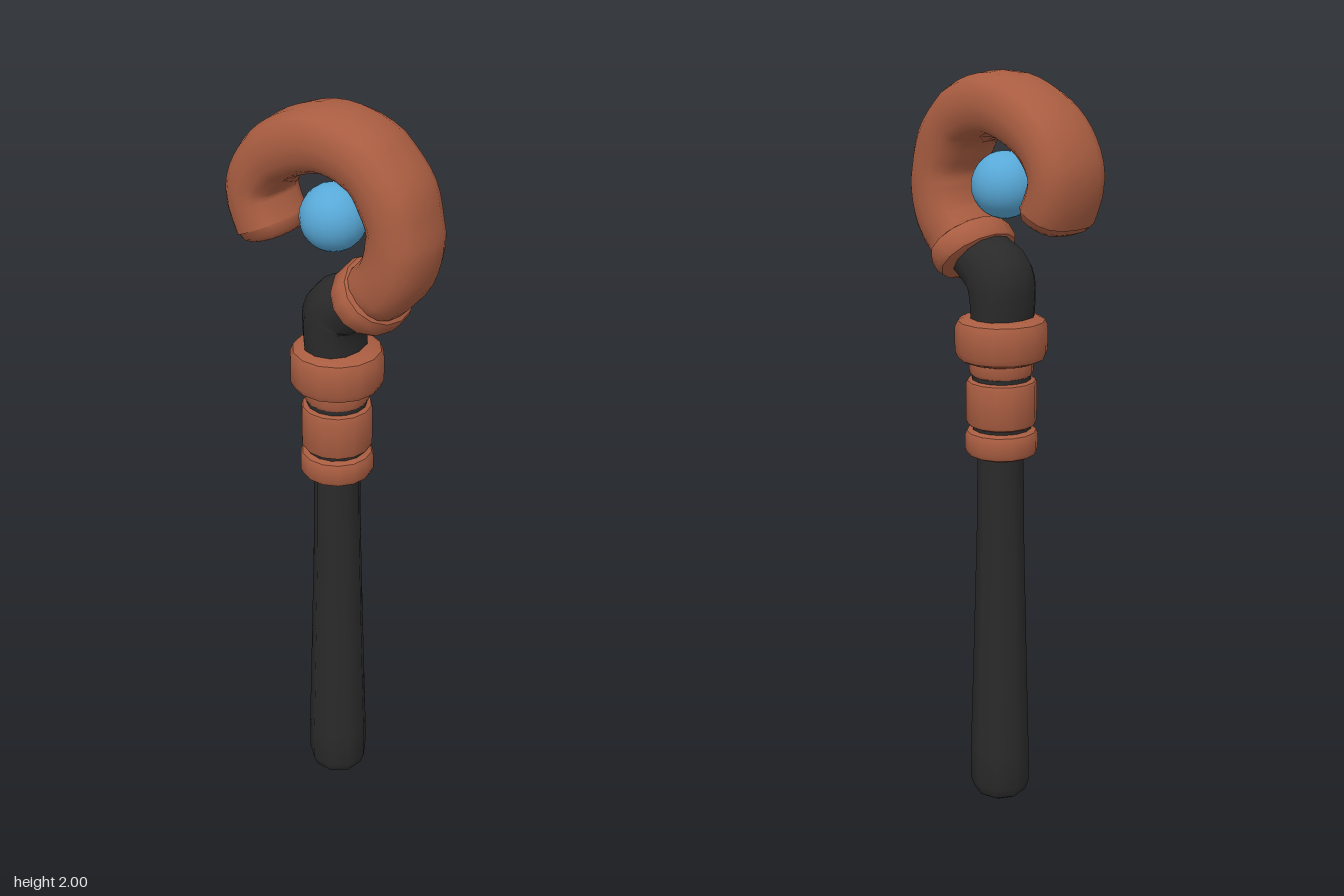
import * as THREE from 'three';
import { toCreasedNormals } from 'three/addons/utils/BufferGeometryUtils.js';

const copper = new THREE.MeshStandardMaterial({ name: 'copper', color: 0xa95d41 });
const black = new THREE.MeshStandardMaterial({ name: 'black grip', color: 0x2a2a2a });
const blue = new THREE.MeshStandardMaterial({ name: 'blue orb', color: 0x58a9d8 });

// Sweep a rounded-square section along stations [x, y, radial half width, z half depth].
function sweep(stations, steps, sides, power) {
  const path = new THREE.CatmullRomCurve3(stations.map(([x, y]) => new THREE.Vector3(x, y, 0)));
  const size = new THREE.CatmullRomCurve3(stations.map(([, , a, b]) => new THREE.Vector3(a, b, 0)));
  const rings = [[0, 0, 0], [0, 0.7, 0], [0, 0.9, 0.012]];
  for (let i = 0; i <= steps; i++) rings.push([i / steps, 1, i === 0 ? 0.035 : i === steps ? -0.035 : 0]);
  rings.push([1, 0.9, -0.012], [1, 0.7, 0], [1, 0, 0]);
  const round = (v) => Math.sign(v) * Math.abs(v) ** (2 / power);
  const pos = [], index = [];
  rings.forEach(([t, scale, shift], i) => {
    const c = path.getPoint(t), d = path.getTangent(t), s = size.getPoint(t);
    c.addScaledVector(d, shift);
    for (let j = 0; j < sides; j++) {
      const angle = (j / sides) * Math.PI * 2;
      const r = round(Math.cos(angle)) * s.x * scale;
      pos.push(c.x - d.y * r, c.y + d.x * r, round(Math.sin(angle)) * s.y * scale);
      if (i === rings.length - 1) continue;
      const k = (j + 1) % sides, a = i * sides, b = a + sides;
      index.push(a + j, a + k, b + k, a + j, b + k, b + j);
    }
  });
  const geo = new THREE.BufferGeometry();
  geo.setAttribute('position', new THREE.Float32BufferAttribute(pos, 3));
  geo.setIndex(index);
  geo.computeVertexNormals();
  return geo;
}

// Solid of revolution from [radius, height] pairs, listed bottom to top.
function turned(profile, sides, crease = 0.65) {
  const points = profile.map(([r, y]) => new THREE.Vector2(r, y));
  return toCreasedNormals(new THREE.LatheGeometry(points, sides, Math.PI / sides), crease);
}

// Band with bevelled rims.
function band(radius, low, high, bevel) {
  return turned([[0, low], [radius - bevel, low], [radius - bevel * 0.3, low + bevel * 0.35], [radius, low + bevel],
    [radius, high - bevel], [radius - bevel * 0.3, high - bevel * 0.35], [radius - bevel, high], [0, high]], 14);
}

export function createModel() {
  const group = new THREE.Group();
  const add = (name, geometry, material, x = 0, y = 0) => {
    const mesh = new THREE.Mesh(geometry, material);
    mesh.name = name;
    mesh.position.set(x, y, 0);
    group.add(mesh);
    return mesh;
  };

  // Tapered shaft, leaning very slightly
  const shaft = add('shaft', turned([[0, 0], [0.055, 0.003], [0.074, 0.016], [0.084, 0.045], [0.083, 0.15],
    [0.073, 0.5], [0.065, 0.8], [0.062, 1.05], [0, 1.05]], 9, 0.8), black, 0.012);
  shaft.rotation.z = 0.004;

  // Stacked metal bands around a dark core
  add('bandCore', new THREE.CylinderGeometry(0.078, 0.078, 0.33, 14), black, 0.006, 1.2);
  [['lowerBand', 0.097, 1.015, 1.088, 0.018],
    ['sleeve', 0.093, 1.097, 1.222, 0.012],
    ['spacerBand', 0.084, 1.23, 1.29, 0.012],
    ['upperBand', 0.121, 1.27, 1.386, 0.026]].forEach(([name, r, low, high, bevel]) =>
    add(name, band(r, low, high, bevel), copper, 0.006));

  // Bent neck from the bands to the hook
  add('neck', sweep([[0.005, 1.34, 0.07, 0.086], [0.001, 1.43, 0.077, 0.088], [0.012, 1.485, 0.085, 0.088],
    [0.055, 1.518, 0.076, 0.086], [0.135, 1.565, 0.068, 0.082]], 14, 12, 2.2), black);

  // Tilted collar at the root of the hook
  const collar = add('hookCollar', band(0.098, -0.036, 0.036, 0.02), copper, 0.112, 1.55);
  collar.rotation.z = -0.79;
  collar.scale.z = 1.25;

  // Curled hook
  add('hook', sweep([[0.12, 1.555, 0.08, 0.1], [0.183, 1.63, 0.082, 0.105], [0.204, 1.72, 0.08, 0.105],
    [0.178, 1.815, 0.08, 0.105], [0.11, 1.89, 0.08, 0.105], [0, 1.919, 0.081, 0.105], [-0.105, 1.892, 0.08, 0.105],
    [-0.185, 1.835, 0.074, 0.105], [-0.222, 1.755, 0.068, 0.105], [-0.18, 1.638, 0.074, 0.1]], 36, 16, 2.5), copper);

  // Floating orb
  add('orb', new THREE.SphereGeometry(0.084, 20, 14), blue, -0.005, 1.722);
  return group;
}
